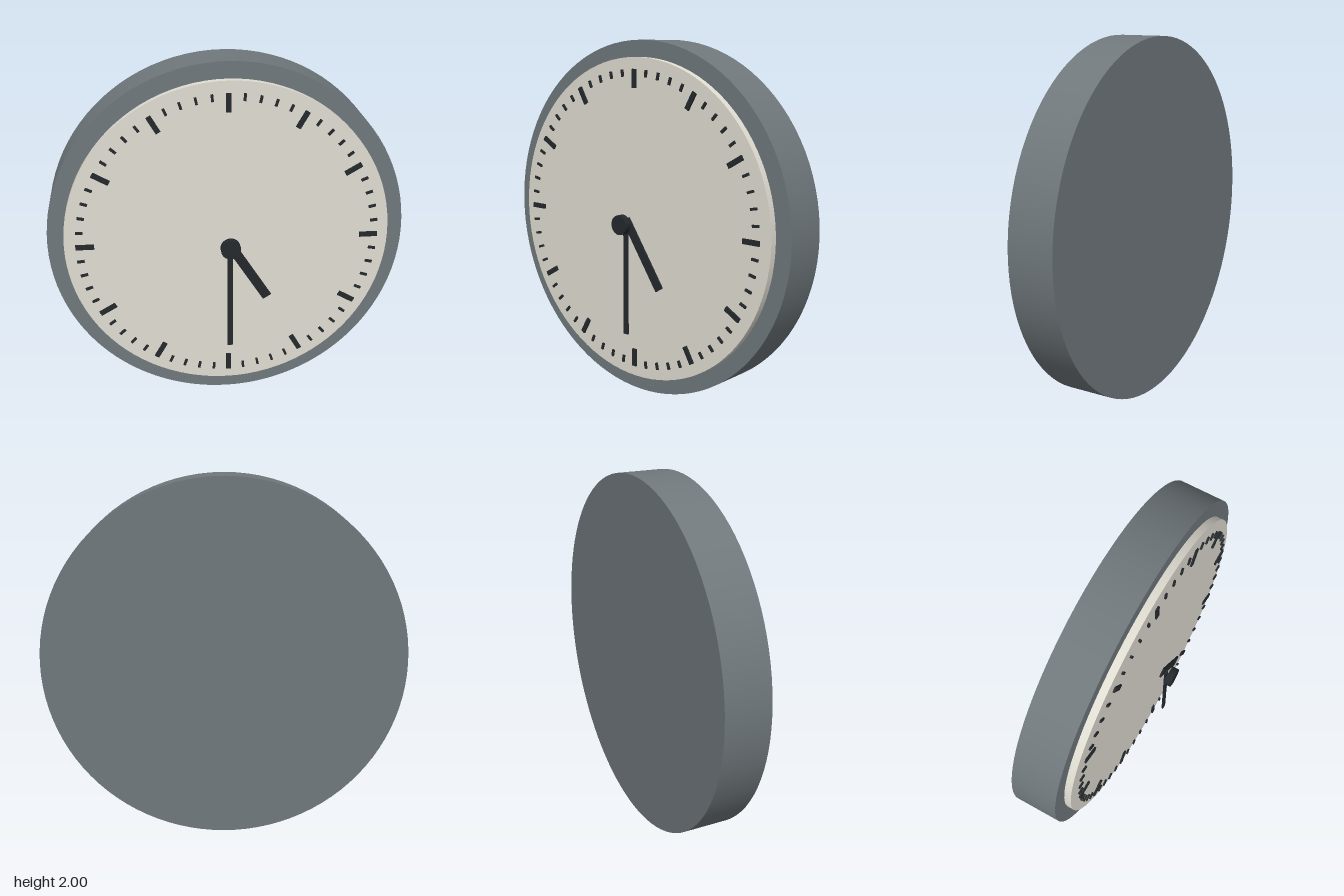
import * as THREE from 'three';

const paint = (color) => new THREE.MeshStandardMaterial({ color });

export function createModel() {
  const clock = new THREE.Group();
  clock.name = 'wallClock';
  const grey = paint(0x70787c);
  const cream = paint(0xe0ddd2);
  const dark = paint(0x25292d);

  // Everything is laid out around the dial centre
  const dial = new THREE.Group();
  dial.name = 'dial';
  dial.position.y = 1;
  clock.add(dial);

  const add = (name, geometry, material) => {
    const mesh = new THREE.Mesh(geometry, material);
    mesh.name = name;
    dial.add(mesh);
    return mesh;
  };

  // Disc facing +z between two depths
  const disc = (name, radius, back, front, material, sides = 96) =>
    add(
      name,
      new THREE.CylinderGeometry(radius, radius, front - back, sides)
        .rotateX(Math.PI / 2)
        .translate(0, 0, (front + back) / 2),
      material
    );

  // Flat bar reaching from inner to outer radius along +y
  const bar = (width, inner, outer, depth) =>
    new THREE.BoxGeometry(width, outer - inner, depth).translate(0, (inner + outer) / 2, 0);

  // Case and face plate
  disc('case', 1, -0.22, 0.04, grey);
  disc('facePlate', 0.908, 0.03, 0.08, cream);

  // Minute and hour marks, floating just above the face
  const hourMark = bar(0.028, 0.743, 0.845, 0.01);
  const minuteMark = bar(0.014, 0.805, 0.845, 0.01);
  for (let i = 0; i < 60; i++) {
    const isHour = i % 5 === 0;
    const mark = add(isHour ? 'hourMark' : 'minuteMark', isHour ? hourMark : minuteMark, dark);
    mark.position.z = 0.092;
    mark.rotation.z = (-i * Math.PI) / 30;
  }

  // Hour hand, its tip leaning slightly toward the face
  const hourHand = add('hourHand', bar(0.054, -0.025, 0.41, 0.01), dark);
  hourHand.position.z = 0.143;
  hourHand.rotation.order = 'ZXY';
  hourHand.rotation.z = -THREE.MathUtils.degToRad(148);
  hourHand.rotation.x = -0.04;

  // Minute hand pointing straight down
  const minuteHand = add('minuteHand', bar(0.03, -0.02, 0.635, 0.01), dark);
  minuteHand.position.set(0.002, 0, 0.163);
  minuteHand.rotation.z = Math.PI;

  // Centre cap
  disc('centreCap', 0.055, 0.181, 0.218, dark, 32);

  return clock;
}
